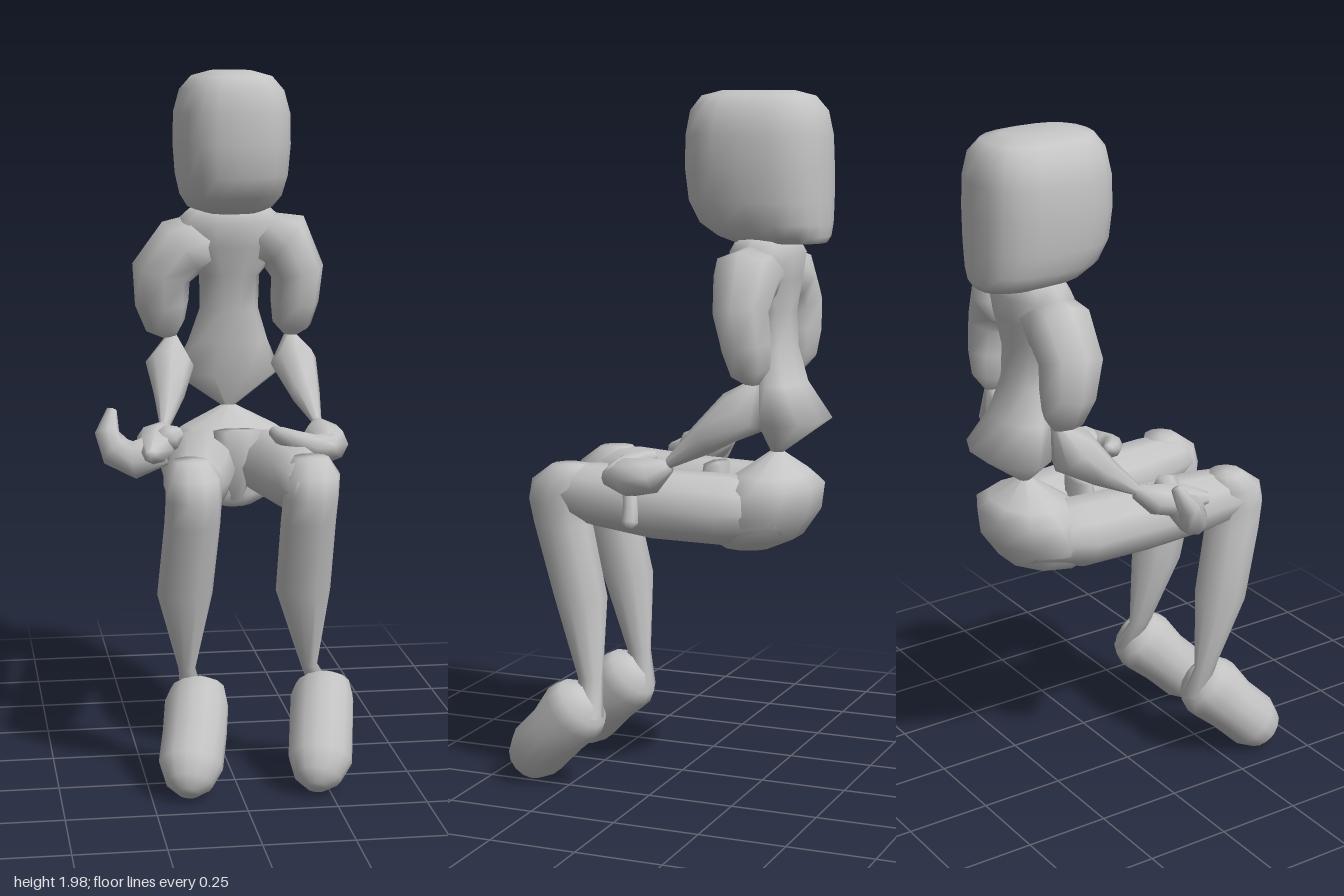
import * as THREE from 'three';

const X = [1, 0, 0], Y = [0, 1, 0], Z = [0, 0, 1], BACK = [0, 0, -1];
const clay = new THREE.MeshStandardMaterial({ color: 0xc4c4c4 });
clay.name = 'clay grey';

// Skin a row of rounded sections [x, y, z, ru, rv]. Without a fixed v axis,
// each section stands square to the path.
function loft(name, rows, u, v = null, sides = 10, power = 2) {
  const pos = [], idx = [], n = rows.length;
  const at = i => new THREE.Vector3(...rows[Math.min(Math.max(i, 0), n - 1)].slice(0, 3));
  const bend = c => Math.sign(c) * Math.abs(c) ** (2 / power);
  rows.forEach((row, i) => {
    const [, , , ru, rv = ru] = row;
    const t = at(i + 1).sub(at(i - 1)).normalize();
    const a = new THREE.Vector3(...u);
    if (!v) a.addScaledVector(t, -a.dot(t)).normalize();
    const b = v ? new THREE.Vector3(...v) : t.clone().cross(a);
    for (let j = 0; j < sides; j++) {
      const w = (j / sides) * Math.PI * 2;
      const p = at(i).addScaledVector(a, ru * bend(Math.cos(w))).addScaledVector(b, rv * bend(Math.sin(w)));
      pos.push(p.x, p.y, p.z);
    }
  });
  const first = n * sides, last = first + 1;
  pos.push(...at(0).toArray(), ...at(n - 1).toArray());
  for (let j = 0; j < sides; j++) {
    const k = (j + 1) % sides;
    for (let i = 0; i < n - 1; i++) {
      const a = i * sides + j, b = i * sides + k;
      idx.push(a, b, b + sides, a, b + sides, a + sides);
    }
    idx.push(first, k, j, last, (n - 1) * sides + j, (n - 1) * sides + k);
  }
  const g = new THREE.BufferGeometry();
  g.setAttribute('position', new THREE.Float32BufferAttribute(pos, 3));
  g.setIndex(idx);
  g.computeVertexNormals();
  const mesh = new THREE.Mesh(g, clay);
  mesh.name = name;
  return mesh;
}

// Put a list of x centres in front of shared section values
const withX = (xs, rows) => rows.map((r, i) => [xs[i], ...r]);

// Thigh, shin and foot; only the x centres differ between sides
function leg(name, thighX, shinX, footX) {
  const g = new THREE.Group();
  g.name = name;
  g.add(
    loft('thigh', withX(thighX, [
      [0.85, -0.36, 0.1, 0.07], [0.85, -0.2, 0.115, 0.1], [0.855, 0, 0.102, 0.098],
      [0.87, 0.18, 0.093, 0.09], [0.88, 0.29, 0.078, 0.075], [0.87, 0.35, 0.05, 0.05],
    ]), X, Y),
    loft('shin', withX(shinX, [
      [0.955, 0.26, 0.05, 0.05], [0.91, 0.285, 0.078, 0.085], [0.85, 0.295, 0.078, 0.088],
      [0.78, 0.285, 0.078, 0.085], [0.57, 0.235, 0.078, 0.077], [0.34, 0.195, 0.024, 0.038],
      [0.24, 0.17, 0.035, 0.035],
    ]), X, Z),
    loft('foot', withX(footX, [
      [0.295, 0.18, 0.035], [0.275, 0.2, 0.078, 0.085], [0.245, 0.23, 0.09, 0.1],
      [0.18, 0.29, 0.09, 0.088], [0.11, 0.36, 0.09, 0.088], [0.07, 0.4, 0.066, 0.066],
      [0.05, 0.42, 0.03],
    ]), X, null, 14));
  return g;
}

export function createModel() {
  const model = new THREE.Group();
  model.name = 'seatedFigure';

  // Boxy rounded head, squarer at the lower back
  model.add(loft('head', [
    [0.06, 1.588, -0.315, 0.09, 0.13], [0.06, 1.605, -0.298, 0.125, 0.155],
    [0.06, 1.64, -0.275, 0.148, 0.182], [0.06, 1.7, -0.26, 0.163, 0.198],
    [0.06, 1.79, -0.254, 0.17, 0.203], [0.06, 1.88, -0.253, 0.168, 0.2],
    [0.06, 1.945, -0.252, 0.15, 0.188], [0.06, 1.985, -0.25, 0.115, 0.157],
    [0.06, 2.0, -0.25, 0.06, 0.1],
  ], X, BACK, 20, 2.5));

  // Torso narrows at the chest, flares at the hem and pinches at the waist
  model.add(loft('torso', [
    [0.06, 1.0, -0.31, 0.015], [0.06, 1.1, -0.36, 0.165, 0.1],
    [0.06, 1.2, -0.32, 0.12, 0.072], [0.06, 1.3, -0.3, 0.088, 0.065],
    [0.06, 1.4, -0.29, 0.09, 0.07], [0.06, 1.49, -0.28, 0.16, 0.09],
    [0.06, 1.56, -0.28, 0.165, 0.1], [0.06, 1.6, -0.28, 0.12, 0.08],
  ], X, BACK));

  // Pelvis rises to the same pinch point
  model.add(loft('pelvis', [
    [0.06, 0.725, -0.22, 0.06, 0.07], [0.06, 0.765, -0.25, 0.15, 0.13],
    [0.06, 0.84, -0.28, 0.195, 0.15], [0.06, 0.915, -0.3, 0.185, 0.14],
    [0.06, 0.945, -0.305, 0.14, 0.1], [0.06, 1.01, -0.31, 0.012],
  ], X, BACK));
  model.add(loft('frontFlap', [
    [0.06, 0.75, -0.15, 0.025, 0.03], [0.06, 0.87, -0.12, 0.06, 0.04],
    [0.06, 0.96, -0.13, 0.07, 0.03],
  ], X, BACK, 6));

  // Legs
  model.add(
    leg('rightLeg', [0.0, -0.045, -0.07, -0.1, -0.12, -0.12],
      [-0.125, -0.122, -0.122, -0.125, -0.14, -0.13, -0.11],
      [-0.1, -0.1, -0.107, -0.12, -0.14, -0.15, -0.155]),
    leg('leftLeg', [0.12, 0.165, 0.19, 0.19, 0.195, 0.2],
      [0.21, 0.21, 0.205, 0.2, 0.195, 0.22, 0.27],
      [0.26, 0.26, 0.253, 0.24, 0.225, 0.21, 0.205]));

  // Arms: tapered upper arm, diamond forearm, palm, curled fingers and thumb
  const arm = (name, parts) => {
    const g = new THREE.Group();
    g.name = name;
    for (const [part, u, rows] of parts) g.add(loft(part, rows, u, null, 8));
    model.add(g);
  };
  arm('leftArm', [
    ['upperArm', Z, [
      [0.14, 1.51, -0.28, 0.08], [0.22, 1.5, -0.275, 0.095], [0.262, 1.41, -0.275, 0.08],
      [0.257, 1.32, -0.29, 0.073], [0.25, 1.25, -0.3, 0.058], [0.245, 1.21, -0.31, 0.012]]],
    ['forearm', X, [
      [0.245, 1.22, -0.31, 0.015], [0.252, 1.14, -0.275, 0.07],
      [0.27, 1.06, -0.17, 0.045], [0.29, 0.985, -0.07, 0.012]]],
    ['palm', X, [
      [0.29, 0.985, -0.08, 0.02], [0.293, 0.955, -0.03, 0.06, 0.05],
      [0.3, 0.945, 0.045, 0.058, 0.055], [0.285, 0.94, 0.11, 0.025]]],
    ['fingers', Y, [
      [0.3, 0.945, 0.07, 0.04], [0.25, 0.95, 0.093, 0.034], [0.2, 0.965, 0.08, 0.03],
      [0.16, 0.975, 0.05, 0.027], [0.14, 0.985, 0.025, 0.015]]],
    ['thumb', Z, [
      [0.29, 0.91, 0.04, 0.02], [0.295, 0.86, 0.035, 0.022],
      [0.31, 0.82, 0.03, 0.025], [0.315, 0.805, 0.03, 0.01]]],
  ]);
  arm('rightArm', [
    ['upperArm', Z, [
      [-0.01, 1.51, -0.28, 0.08], [-0.085, 1.485, -0.275, 0.095], [-0.145, 1.41, -0.28, 0.09],
      [-0.142, 1.32, -0.29, 0.08], [-0.13, 1.25, -0.3, 0.06], [-0.11, 1.21, -0.31, 0.012]]],
    ['forearm', X, [
      [-0.11, 1.22, -0.31, 0.015], [-0.122, 1.14, -0.265, 0.072],
      [-0.135, 1.06, -0.17, 0.045], [-0.16, 0.985, -0.07, 0.014]]],
    ['palm', X, [
      [-0.16, 0.985, -0.08, 0.02], [-0.185, 0.96, -0.03, 0.06, 0.045],
      [-0.2, 0.945, 0.045, 0.052, 0.05], [-0.22, 0.94, 0.125, 0.018]]],
    ['fingers', Z, [
      [-0.18, 0.945, 0.04, 0.04, 0.05], [-0.26, 0.915, 0.045, 0.045, 0.055],
      [-0.31, 0.935, 0.01, 0.04, 0.048], [-0.332, 0.985, -0.02, 0.032, 0.035],
      [-0.315, 1.045, -0.05, 0.015]]],
    ['thumb', Y, [
      [-0.19, 0.96, 0.03, 0.03], [-0.155, 0.975, 0.03, 0.04], [-0.13, 0.985, 0.01, 0.02]]],
  ]);
  return model;
}
